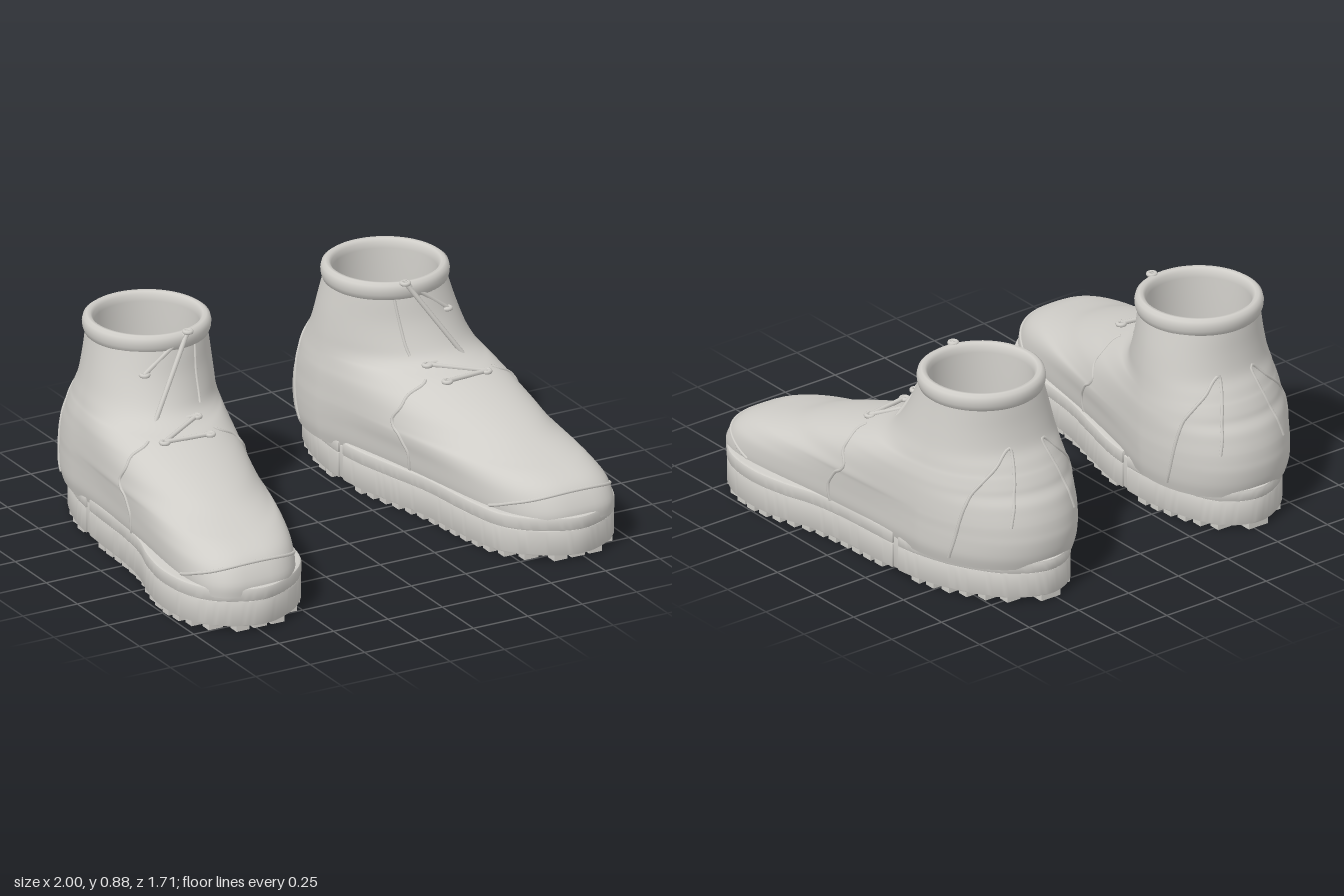
import * as THREE from 'three';
import { mergeGeometries, toCreasedNormals } from 'three/addons/utils/BufferGeometryUtils.js';

const leather = new THREE.MeshStandardMaterial({ color: 0xcfcdc8, side: THREE.DoubleSide });
leather.name = 'pale grey';

const ZC = -0.42; // ankle centre in z

// Horizontal slices of the upper: y, back z, front z, half width, ankle x, toe x, roundness
const KEYS = [
  [0.15, -0.835, 0.83, 0.31, 0.565, 0.745, 3.1],
  [0.20, -0.85, 0.83, 0.322, 0.565, 0.745, 3.0],
  [0.26, -0.855, 0.80, 0.325, 0.563, 0.74, 2.9],
  [0.30, -0.85, 0.76, 0.325, 0.562, 0.73, 2.7],
  [0.33, -0.845, 0.69, 0.325, 0.562, 0.72, 2.55],
  [0.35, -0.84, 0.61, 0.324, 0.562, 0.715, 2.4],
  [0.38, -0.83, 0.50, 0.322, 0.562, 0.70, 2.3],
  [0.42, -0.815, 0.40, 0.319, 0.561, 0.69, 2.2],
  [0.455, -0.79, 0.30, 0.315, 0.56, 0.68, 2.1],
  [0.485, -0.778, 0.20, 0.31, 0.56, 0.67, 2.05],
  [0.52, -0.76, 0.08, 0.302, 0.558, 0.65, 2],
  [0.54, -0.747, 0.0, 0.297, 0.556, 0.635, 2],
  [0.57, -0.73, -0.06, 0.291, 0.554, 0.62, 2],
  [0.62, -0.70, -0.10, 0.281, 0.55, 0.60, 2],
  [0.70, -0.68, -0.14, 0.266, 0.547, 0.58, 2],
  [0.78, -0.668, -0.165, 0.25, 0.547, 0.56, 2],
  [0.83, -0.66, -0.18, 0.24, 0.548, 0.55, 2],
];

// Subdivide the slices, keeping the values monotone
const SLICES = [];
for (let i = 0; i < KEYS.length - 1; i++) {
  const at = (k) => KEYS[Math.min(Math.max(k, 0), KEYS.length - 1)];
  for (let s = 0; s < 4; s++) {
    const t = s / 4;
    SLICES.push(KEYS[i].map((v, c) => {
      const a = at(i - 1)[c], d = at(i + 2)[c], w = at(i + 1)[c];
      return v + 0.5 * t * (w - a + t * (2 * a - 5 * v + 4 * w - d + t * (3 * (v - w) + d - a)));
    }));
  }
}
SLICES.push(KEYS[KEYS.length - 1]);

// Point on a slice: angle 0 outer side, 90 front, 180 inner side, 270 back
function slicePoint([y, zB, zF, w, c, tip, n], angle) {
  const cs = Math.cos(angle), sn = Math.sin(angle), front = sn > 0;
  const e = 2 / (front ? n : 2.1);
  const k = Math.pow(Math.abs(sn), e);
  const across = Math.sign(cs) * Math.pow(Math.abs(cs), e);
  const waist = front ? 1 - 0.15 * Math.sin(Math.PI * k) * (n - 2) + 0.12 * k * k * (n - 2) : 1;
  const x = c + (front ? (tip - c) * k : -0.04 * k * Math.min(1, (0.83 - y) * 3)) + w * waist * across;
  return new THREE.Vector3(x, y, ZC + (front ? zF - ZC : zB - ZC) * k);
}

function upperGeometry() {
  const N = 96, pos = [], idx = [];
  for (const s of SLICES)
    for (let j = 0; j < N; j++) pos.push(...slicePoint(s, (j / N) * Math.PI * 2).toArray());
  for (let i = 0; i < SLICES.length - 1; i++)
    for (let j = 0; j < N; j++) {
      const a = i * N + j, b = i * N + (j + 1) % N;
      idx.push(a, a + N, b, b, a + N, b + N);
    }
  const g = new THREE.BufferGeometry();
  g.setAttribute('position', new THREE.Float32BufferAttribute(pos, 3));
  g.setIndex(idx);
  g.computeVertexNormals();
  return g;
}

// Raised seam following the upper through [degrees, height] pairs
function seamGeometry(path) {
  const guide = new THREE.CatmullRomCurve3(path.map(([d, y]) => new THREE.Vector3(d, y, 0)));
  const pts = guide.getPoints(32).map((p) => {
    let i = 0;
    while (i < SLICES.length - 2 && SLICES[i + 1][0] < p.y) i++;
    const lo = SLICES[i], hi = SLICES[i + 1], t = (p.y - lo[0]) / (hi[0] - lo[0]);
    const q = slicePoint(lo.map((v, c) => v + (hi[c] - v) * t), THREE.MathUtils.degToRad(p.x));
    return q;
  });
  return new THREE.TubeGeometry(new THREE.CatmullRomCurve3(pts), 64, 0.007, 6);
}

// Sole outline as x, z
const OUTLINE = new THREE.CatmullRomCurve3([
  [0.73, 0.85], [0.9, 0.78], [0.975, 0.67], [1.0, 0.5], [0.975, 0.33], [0.93, 0.18], [0.905, 0],
  [0.895, -0.2], [0.875, -0.4], [0.805, -0.61], [0.675, -0.79], [0.52, -0.855], [0.38, -0.79],
  [0.305, -0.62], [0.27, -0.4], [0.28, -0.2], [0.325, 0], [0.375, 0.2], [0.415, 0.5],
  [0.46, 0.67], [0.565, 0.785],
].map(([x, z]) => new THREE.Vector3(x, 0, z)), true).getSpacedPoints(240).slice(0, -1);

function slab(points, y0, y1, bevel, scale = 1) {
  const shape = new THREE.Shape(points.map((p) =>
    new THREE.Vector2(0.62 + (p.x - 0.62) * scale, -p.z * scale)));
  const g = new THREE.ExtrudeGeometry(shape, {
    depth: y1 - y0 - 2 * bevel, bevelSize: bevel, bevelThickness: bevel,
    bevelOffset: -bevel, bevelSegments: 2,
  });
  g.rotateX(-Math.PI / 2).translate(0, y0 + bevel, 0);
  return toCreasedNormals(g, 0.7);
}

// Grid of tread lugs fitted to the width of the sole
function treadGeometry() {
  const span = (z) => {
    const xs = [];
    OUTLINE.forEach((p, i) => {
      const q = OUTLINE[(i + 1) % OUTLINE.length];
      if ((p.z > z) !== (q.z > z)) xs.push(p.x + (q.x - p.x) * (z - p.z) / (q.z - p.z));
    });
    return [Math.min(...xs), Math.max(...xs)];
  };
  const boxes = [];
  for (let z = -0.845; z < 0.8; z += 0.07) {
    if (z > -0.36 && z < -0.28) continue;
    const [a, b] = [span(z), span(z + 0.05)];
    const lo = Math.max(a[0], b[0]) + 0.006, hi = Math.min(a[1], b[1]) - 0.006;
    const n = Math.max(1, Math.round((hi - lo) / 0.075)), step = (hi - lo + 0.02) / n;
    for (let i = 0; i < n; i++)
      boxes.push(new THREE.BoxGeometry(step - 0.02, 0.04, 0.05)
        .translate(lo + i * step + (step - 0.02) / 2, 0.02, z + 0.025));
  }
  return mergeGeometries(boxes);
}

// Rolled collar, lining and insole in one turned profile
function collarGeometry() {
  const profile = [[0.238, 0.79], [0.25, 0.8], [0.257, 0.82], [0.259, 0.84], [0.254, 0.86], [0.24, 0.87],
    [0.225, 0.868], [0.215, 0.855], [0.212, 0.83], [0.212, 0.5], [0.212, 0.24], [0.2, 0.22], [0, 0.22]];
  const g = new THREE.LatheGeometry(profile.map(([x, y]) => new THREE.Vector2(x, y)), 64);
  return toCreasedNormals(g.translate(0.548, 0, -0.422), 0.9);
}

// Lace holes from the instep back into the shaft
const HOLES = [
  [0.545, 0.53, 0.085], [0.74, 0.525, 0.06], [0.53, 0.555, -0.05], [0.715, 0.545, -0.07],
  [0.5, 0.87, -0.175], [0.695, 0.72, -0.18], [0.5, 0.24, -0.33], [0.66, 0.24, -0.305],
  [0.47, 0.24, -0.455], [0.64, 0.24, -0.44], [0.45, 0.24, -0.57], [0.61, 0.24, -0.56],
].map((p) => new THREE.Vector3(...p));

function laceGeometry() {
  const parts = [];
  for (let i = 0; i < HOLES.length - 1; i++)
    parts.push(new THREE.TubeGeometry(new THREE.LineCurve3(HOLES[i], HOLES[i + 1]), 1, 0.01, 8));
  return mergeGeometries(parts);
}

function eyeletGeometry() {
  return mergeGeometries(HOLES.map((p) =>
    new THREE.TorusGeometry(0.015, 0.009, 8, 16).rotateX(-Math.PI / 2).translate(p.x, p.y - 0.002, p.z)));
}

// Mirror a geometry across x, keeping faces outward
function mirrored(source) {
  const g = (source.index ? source.toNonIndexed() : source.clone()).scale(-1, 1, 1);
  for (const a of Object.values(g.attributes))
    for (let i = 0; i < a.count; i += 3)
      for (let k = 0; k < a.itemSize; k++) {
        const t = a.getComponent(i + 1, k);
        a.setComponent(i + 1, k, a.getComponent(i + 2, k));
        a.setComponent(i + 2, k, t);
      }
  return g;
}

export function createModel() {
  const fore = OUTLINE.filter((p) => p.z > -0.29), heel = OUTLINE.filter((p) => p.z < -0.31);
  const flip = (path) => path.map(([d, y]) => [180 - d, y]);
  const vamp = [[15, 0.18], [18, 0.3], [36, 0.45], [60, 0.52]];
  const counter = [[-23, 0.18], [-33, 0.4], [-60, 0.57], [-75, 0.62], [-70, 0.5], [-62, 0.34]];
  const seams = [
    [[45, 0.19], [60, 0.235], [90, 0.275], [120, 0.235], [135, 0.19]],
    vamp, flip(vamp), counter, flip(counter),
    [[113, 0.8], [114, 0.7], [116, 0.58]],
  ];
  const parts = {
    upper: upperGeometry(),
    collarAndLining: collarGeometry(),
    seams: mergeGeometries(seams.map(seamGeometry)),
    soleCore: slab(OUTLINE, 0.025, 0.165, 0.005, 0.975),
    foreMidsole: slab(fore, 0.022, 0.132, 0.008, 0.998),
    foreWelt: slab(fore, 0.128, 0.186, 0.01),
    heelMidsole: slab(heel, 0.022, 0.132, 0.008, 0.998),
    heelWelt: slab(heel, 0.128, 0.18, 0.01),
    tread: treadGeometry(),
    laces: laceGeometry(),
    eyelets: eyeletGeometry(),
  };
  const model = new THREE.Group();
  for (const side of ['left', 'right']) {
    const boot = new THREE.Group();
    boot.name = side + 'Boot';
    for (const [name, g] of Object.entries(parts)) {
      const mesh = new THREE.Mesh(side === 'left' ? g : mirrored(g), leather);
      mesh.name = name;
      boot.add(mesh);
    }
    model.add(boot);
  }
  return model;
}
